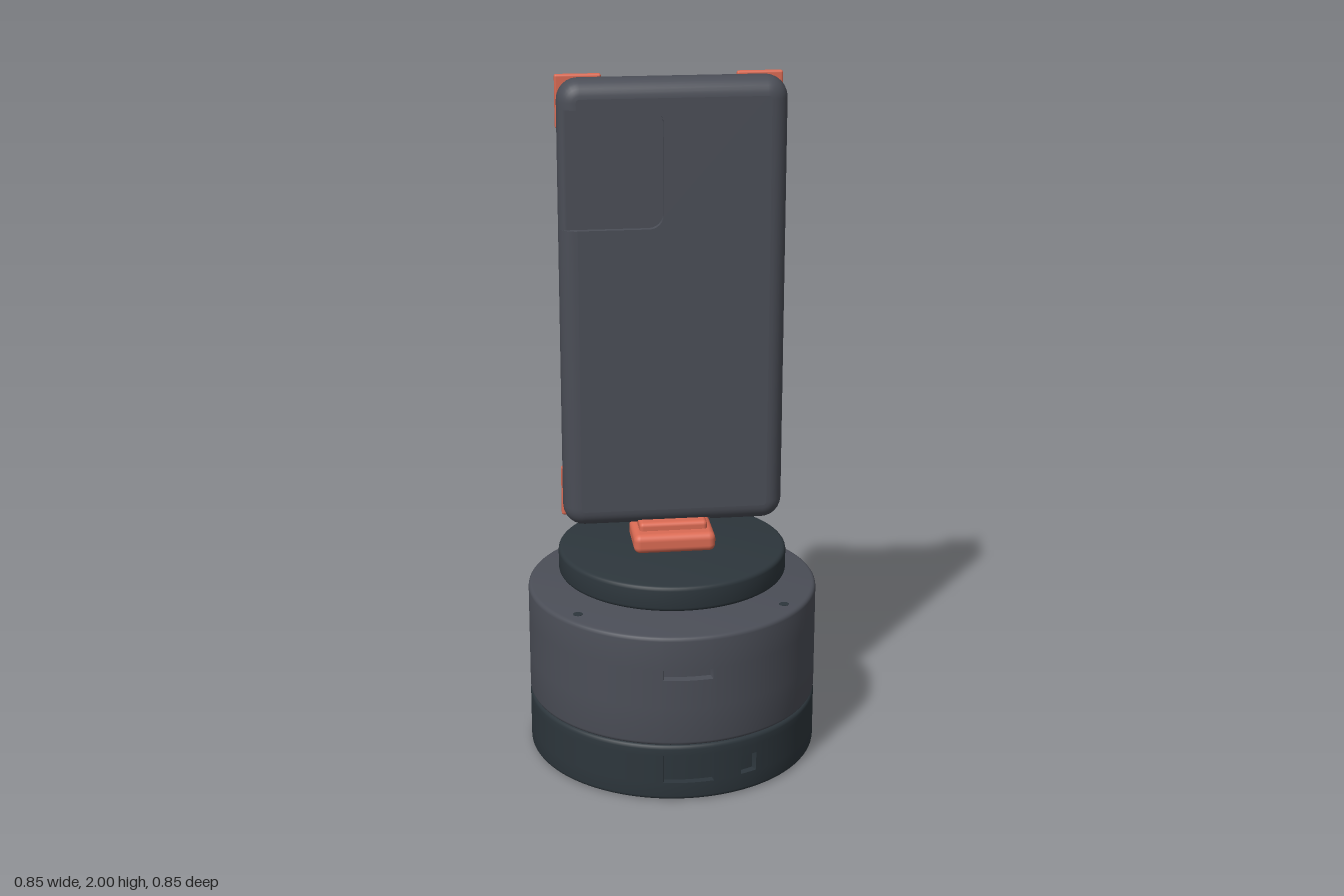
import * as THREE from 'three';
import { toCreasedNormals } from 'three/addons/utils/BufferGeometryUtils.js';
import { RoundedBoxGeometry } from 'three/addons/geometries/RoundedBoxGeometry.js';

const EPS = 0.0005;
const grey = new THREE.MeshStandardMaterial({ color: 0x4b4e57 });
grey.name = 'case grey';
const dark = new THREE.MeshStandardMaterial({ color: 0x2d363c });
dark.name = 'dark slate';
const coral = new THREE.MeshStandardMaterial({ color: 0xdb6b54 });
coral.name = 'coral';

function add(parent, name, geometry, material, x = 0, y = 0, z = 0) {
  const mesh = new THREE.Mesh(geometry, material);
  mesh.name = name;
  mesh.position.set(x, y, z);
  parent.add(mesh);
  return mesh;
}

// Skin over a list of rings, smooth except at sharp edges
function loft(rings, closed = true) {
  const n = rings[0].length, index = [];
  for (let k = 0; k < rings.length - 1; k++) {
    for (let j = 0; j < (closed ? n : n - 1); j++) {
      const a = k * n + j, b = k * n + (j + 1) % n;
      index.push(a, a + n, b, b, a + n, b + n);
    }
  }
  const g = new THREE.BufferGeometry();
  g.setAttribute('position', new THREE.Float32BufferAttribute(rings.flat(2), 3));
  g.setIndex(index);
  g.scale(100, 100, 100); // keeps close vertices apart while creasing
  return toCreasedNormals(g, 0.6).scale(0.01, 0.01, 0.01);
}

// Round drum with softened rims; each slot is [angle, half angle, y0, y1, depth]
function drum(R, y0, y1, slots = []) {
  const b = 0.012;
  const angles = [], rows = [];
  for (let i = 0; i < 96; i++) angles.push(-Math.PI + (i / 96) * Math.PI * 2);
  for (const [t, h, s0, s1] of slots) {
    angles.push(t - h - EPS, t - h, t + h, t + h + EPS);
    rows.push(s0 - EPS, s0, s1, s1 + EPS);
  }
  angles.sort((p, q) => p - q);
  const profile = [[0, y1]];
  for (let i = 0; i <= 4; i++) {
    const t = (i / 4) * Math.PI / 2;
    profile.push([R - b + b * Math.sin(t), y1 - b + b * Math.cos(t)]);
  }
  [...new Set(rows)].sort((p, q) => q - p).forEach(y => profile.push([R, y]));
  for (let i = 0; i <= 4; i++) {
    const t = (i / 4) * Math.PI / 2;
    profile.push([R - b + b * Math.cos(t), y0 + b - b * Math.sin(t)]);
  }
  profile.push([0, y0]);
  return loft(profile.map(([r, y]) => angles.map(t => {
    const s = slots.find(([c, h, s0, s1]) =>
      Math.abs(t - c) < h + 1e-6 && y > s0 - 1e-6 && y < s1 + 1e-6);
    const q = s ? r - s[4] : r;
    return [q * Math.sin(t), y, q * Math.cos(t)];
  })));
}

// Phone case sizes, measured from the case centre
const W = 0.32, H = 0.65, CORNER = 0.06, BEVEL = 0.05;
const FRONT = 0.06, FLOOR = 0.042, CAM_TOP = 0.57, CAM_LOW = 0.235, CAM_RIGHT = -0.03;

// Rounded outline with the plug notch at the bottom and breaks at the camera recess
function outline(inset) {
  const w = W - inset, h = H - inset, r = CORNER - inset, pts = [];
  const corner = (cx, cy, start) => {
    for (let i = 0; i <= 6; i++) {
      const t = start + (i / 6) * Math.PI / 2;
      pts.push([cx + r * Math.cos(t), cy + r * Math.sin(t)]);
    }
  };
  const notch = Math.max(-h, -H + 0.015);
  pts.push([-0.105 - EPS, -h], [-0.105, notch], [0.105, notch], [0.105 + EPS, -h]);
  corner(w - r, -h + r, -Math.PI / 2);
  corner(w - r, h - r, 0);
  corner(-w + r, h - r, Math.PI / 2);
  for (const y of [CAM_TOP + EPS, CAM_TOP, CAM_LOW, CAM_LOW - EPS]) pts.push([-w, y]);
  corner(-w + r, -h + r, Math.PI);
  return pts;
}

const inCamera = ([x, y]) => x < 0 && y <= CAM_TOP + 1e-6 && y >= CAM_LOW - 1e-6;

function buildPhone() {
  const phone = new THREE.Group();
  phone.name = 'phone';
  phone.position.y = 1.35;

  // Rounded shell from the front rim over the sides to the back lip
  const section = [];
  for (let i = 0; i <= 8; i++) {
    const t = (i / 8) * Math.PI / 2;
    section.push([BEVEL - BEVEL * Math.sin(t), FRONT - BEVEL + BEVEL * Math.cos(t)]);
  }
  for (let i = 0; i <= 6; i++) {
    const t = (i / 6) * Math.PI / 2;
    section.push([0.035 * (1 - Math.cos(t)), -0.005 - 0.05 * Math.sin(t)]);
  }
  section.push([0.035, -0.044]);
  const rings = section.map(([inset, z]) => outline(inset).map(p =>
    [p[0], p[1], inCamera(p) ? Math.min(z, FLOOR) : z]));
  add(phone, 'caseShell', loft(rings), grey);

  // Camera recess path, open towards the side of the case
  const edge = -W + BEVEL, r = 0.04, path = [[edge, CAM_TOP]];
  for (let i = 0; i <= 6; i++) {
    const t = (i / 6) * Math.PI / 2;
    path.push([CAM_RIGHT - r + r * Math.sin(t), CAM_TOP - r + r * Math.cos(t)]);
  }
  for (let i = 0; i <= 6; i++) {
    const t = (i / 6) * Math.PI / 2;
    path.push([CAM_RIGHT - r + r * Math.cos(t), CAM_LOW + r - r * Math.sin(t)]);
  }
  path.push([edge, CAM_LOW]);

  // Flat face around the recess, then the recess wall and floor
  const face = [];
  for (const p of outline(BEVEL)) {
    if (!inCamera(p)) face.push(p);
    else if (p[1] > 0.4) face.push(...path);
  }
  const flat = pts => new THREE.ShapeGeometry(
    new THREE.Shape(pts.map(([x, y]) => new THREE.Vector2(x, y))));
  add(phone, 'caseFace', flat(face), grey, 0, 0, FRONT);
  add(phone, 'cameraRecessFloor', flat(path), grey, 0, 0, FLOOR);
  add(phone, 'cameraRecessWall',
    loft([FRONT, FLOOR].map(z => path.map(([x, y]) => [x, y, z])), false), grey);

  // Screen set inside the lip
  add(phone, 'screen', new THREE.BoxGeometry(0.57, 1.23, 0.008), dark, 0, 0, -0.044);

  // Corner grips
  for (const sx of [-1, 1]) for (const sy of [-1, 1]) {
    add(phone, 'cornerGrip', new RoundedBoxGeometry(0.13, 0.15, 0.02, 2, 0.006),
      coral, sx * 0.255, sy * 0.575, -0.068);
  }
  return phone;
}

export function createModel() {
  const model = new THREE.Group();
  model.name = 'phoneDock';

  // Lower base with a port and a switch slot
  const R = 0.426;
  add(model, 'lowerBase', drum(R, 0, 0.172, [
    [-0.006, 0.17, 0.055, 0.14, 0.02],
    [0.425, 0.06, 0.058, 0.113, 0.02],
  ]), dark);
  add(model, 'bottomScrew', new THREE.CylinderGeometry(0.016, 0.016, 0.004, 16), grey, 0, 0.001, 0);

  // Upper body with a front slot and a row of vents at the back
  const slots = [[-0.01, 0.165, 0.376, 0.406, 0.025]];
  for (let i = -2; i <= 2; i++) {
    const t = Math.PI + i * 0.185;
    slots.push([t > Math.PI - 0.01 ? t - Math.PI * 2 : t, 0.036, 0.291, 0.313, 0.025]);
  }
  // The middle vent crosses the ring seam, so the drum is built turned a quarter
  const turned = slots.map(([t, ...rest]) => {
    const u = t + Math.PI / 2;
    return [u > Math.PI ? u - Math.PI * 2 : u, ...rest];
  });
  add(model, 'upperBody', drum(R, 0.172, 0.507, turned), grey).rotation.y = -Math.PI / 2;
  for (const sx of [-1, 1]) for (const sz of [-1, 1]) {
    add(model, 'screwHole', new THREE.CylinderGeometry(0.014, 0.014, 0.004, 16),
      dark, sx * 0.298, 0.506, sz * 0.229);
  }

  // Turntable and plug
  add(model, 'turntable', drum(0.335, 0.545, 0.62), dark);
  add(model, 'plugFoot', new RoundedBoxGeometry(0.24, 0.058, 0.166, 4, 0.02), coral, 0, 0.648, 0);
  add(model, 'plugNeck', new RoundedBoxGeometry(0.2, 0.035, 0.085, 3, 0.012), coral, 0, 0.683, 0);

  model.add(buildPhone());
  return model;
}
